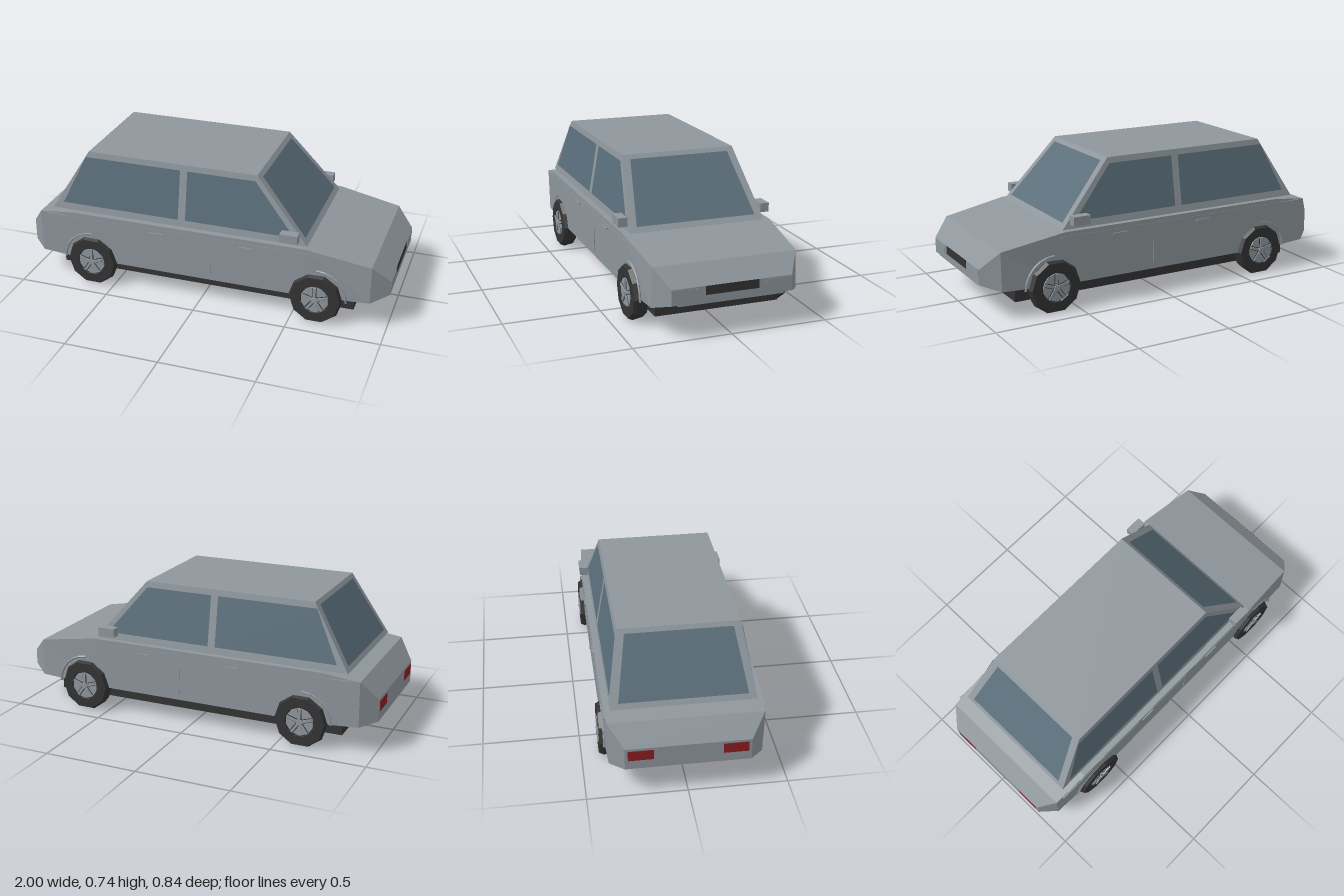
import * as THREE from 'three';

const mat = (name, color, side = THREE.FrontSide) => {
  const m = new THREE.MeshStandardMaterial({ color, side });
  m.name = name;
  return m;
};

// Faceted copy of a geometry
function flat(geo) {
  const g = geo.index ? geo.toNonIndexed() : geo;
  g.computeVertexNormals();
  return g;
}

// Skin between matching rings of points, closed at both ends
function loft(rings) {
  const n = rings[0].length, pos = [];
  const quad = (a, b, c, d) => pos.push(...a, ...b, ...c, ...a, ...c, ...d);
  for (let k = 0; k < rings.length - 1; k++) {
    for (let i = 0; i < n; i++) {
      const j = (i + 1) % n;
      quad(rings[k][i], rings[k][j], rings[k + 1][j], rings[k + 1][i]);
    }
  }
  const s = rings[0], e = rings[rings.length - 1];
  quad(s[3], s[2], s[1], s[0]);
  quad(e[0], e[1], e[2], e[3]);
  const g = new THREE.BufferGeometry();
  g.setAttribute('position', new THREE.Float32BufferAttribute(pos, 3));
  g.computeVertexNormals();
  return g;
}

export function createModel() {
  const paint = mat('grey paint', 0x8e969c);
  const glass = mat('blue glass', 0x5a6e7a, THREE.DoubleSide);
  const dark = mat('dark rubber', 0x333333);
  const red = mat('tail light red', 0x8c1d22);
  const car = new THREE.Group();
  car.name = 'car';

  const add = (name, geo, material, parent = car) => {
    const m = new THREE.Mesh(geo, material);
    m.name = name;
    parent.add(m);
    return m;
  };
  // Box given by its limits on each axis
  const box = (name, x0, x1, y0, y1, z0, z1, material) => {
    const m = add(name, new THREE.BoxGeometry(x1 - x0, y1 - y0, z1 - z0), material);
    m.position.set((x0 + x1) / 2, (y0 + y1) / 2, (z0 + z1) / 2);
    return m;
  };

  // Lower body: x, bottom y, top y, bottom half width, top half width
  const sections = [
    [-1, 0.165, 0.283, 0.31, 0.31],
    [-0.92, 0.145, 0.385, 0.38, 0.385],
    [-0.72, 0.135, 0.41, 0.388, 0.395],
    [0.57, 0.135, 0.41, 0.388, 0.395],
    [0.91, 0.15, 0.35, 0.378, 0.372],
    [1, 0.18, 0.26, 0.31, 0.31],
  ];
  add('lowerBody', loft(sections.map(([x, y0, y1, w0, w1]) =>
    [[x, y0, w0], [x, y0, -w0], [x, y1, -w1], [x, y1, w1]])), paint);
  box('chassis', -0.82, 0.82, 0.065, 0.145, -0.325, 0.325, dark);

  // Cabin
  const level = (y, x0, x1, w) => [[x0, y, w], [x1, y, w], [x1, y, -w], [x0, y, -w]];
  add('cabin', loft([level(0.41, -0.85, 0.57, 0.362), level(0.74, -0.65, 0.285, 0.305)]), paint);

  // Thin glass sheets lying just above the sloping cabin faces
  const t = (y) => (y - 0.41) / 0.33;
  const sideZ = (y) => 0.362 - t(y) * 0.057 + 0.003;
  const frontX = (y) => 0.57 - t(y) * 0.285 + 0.003;
  const rearX = (y) => -0.85 + t(y) * 0.2 - 0.003;
  const pane = (name, a, b, c, d) => {
    const g = new THREE.BufferGeometry();
    g.setAttribute('position', new THREE.Float32BufferAttribute([...a, ...b, ...c, ...a, ...c, ...d], 3));
    g.computeVertexNormals();
    add(name, g, glass);
  };
  const lo = 0.436, hi = 0.72, wl = 0.32, wh = 0.268;
  pane('windscreen', [frontX(lo), lo, wl], [frontX(lo), lo, -wl], [frontX(hi), hi, -wh], [frontX(hi), hi, wh]);
  pane('rearWindow', [rearX(lo), lo, -wl], [rearX(lo), lo, wl], [rearX(hi), hi, wh], [rearX(hi), hi, -wh]);
  const sideWindows = [['rearSideWindow', -0.79, -0.13, -0.13, -0.665], ['frontSideWindow', -0.09, 0.5, 0.278, -0.09]];
  for (const [name, x0, x1, x2, x3] of sideWindows) {
    const y0 = 0.447, y1 = 0.71;
    const p = (x, y, s) => [x, y, s * sideZ(y)];
    pane(name + 'Left', p(x0, y0, 1), p(x1, y0, 1), p(x2, y1, 1), p(x3, y1, 1));
    pane(name + 'Right', p(x1, y0, -1), p(x0, y0, -1), p(x3, y1, -1), p(x2, y1, -1));
  }

  // Nose details
  box('grille', 0.995, 1.001, 0.215, 0.26, -0.138, 0.138, dark);
  box('bumperStrip', 0.97, 0.992, 0.169, 0.178, -0.27, 0.27, paint);
  box('bumperCentre', 0.98, 0.997, 0.174, 0.182, -0.07, 0.07, paint);

  // Paired side details
  for (const s of [1, -1]) {
    const sided = (name, x0, x1, y0, y1, z0, z1, m) =>
      box(name, x0, x1, y0, y1, Math.min(s * z0, s * z1), Math.max(s * z0, s * z1), m);
    sided('headlight', 0.995, 1.002, 0.213, 0.255, 0.175, 0.305, paint);
    sided('tailLight', -1.002, -0.995, 0.215, 0.27, 0.17, 0.295, red);
    sided('mirror', 0.436, 0.53, 0.436, 0.483, 0.362, 0.41, paint);
    sided('sideTrim', -0.88, 0.6, 0.383, 0.387, 0.388, 0.396, paint);
    sided('doorSeam', 0.058, 0.063, 0.17, 0.335, 0.385, 0.394, paint);
    for (const x of [-0.24, 0.26]) sided('doorHandle', x - 0.04, x + 0.04, 0.355, 0.366, 0.385, 0.4, paint);
  }

  // Wheels: ten-sided tyre, hub disc and five spokes
  const profile = [[0, 0.335], [0.132, 0.335], [0.142, 0.388], [0.132, 0.41], [0.08, 0.41], [0.076, 0.402], [0, 0.402]];
  const tyre = flat(new THREE.LatheGeometry(profile.map(([r, y]) => new THREE.Vector2(r, y)), 10)
    .rotateY(Math.PI / 10).rotateX(Math.PI / 2));
  const hub = flat(new THREE.CylinderGeometry(0.074, 0.076, 0.012, 10).rotateX(Math.PI / 2).translate(0, 0, 0.402));
  const cap = flat(new THREE.CylinderGeometry(0.015, 0.018, 0.016, 10).rotateX(Math.PI / 2).translate(0, 0, 0.41));
  const spoke = new THREE.BoxGeometry(0.014, 0.066, 0.008).translate(0, 0.037, 0.411);
  const groove = new THREE.BoxGeometry(0.022, 0.064, 0.003).translate(0, 0.037, 0.4075);
  for (const [end, x] of [['front', 0.63], ['rear', -0.62]]) {
    for (const [hand, s] of [['Left', 1], ['Right', -1]]) {
      const wheel = new THREE.Group();
      wheel.name = end + 'Wheel' + hand;
      wheel.position.set(x, 0.135, 0);
      wheel.rotation.y = s > 0 ? 0 : Math.PI;
      add('tyre', tyre, dark, wheel);
      add('hub', hub, paint, wheel);
      add('hubCap', cap, paint, wheel);
      for (let i = 0; i < 5; i++) {
        const a = i * Math.PI * 0.4;
        add('spoke', spoke, paint, wheel).rotation.z = a;
        add('spokeGroove', groove, dark, wheel).rotation.z = a;
      }
      car.add(wheel);

      // Raised lip over the outer quarter of the wheel arch
      const lip = new THREE.TorusGeometry(0.16, 0.006, 4, 6, Math.PI / 2);
      if (end === 'rear') lip.rotateZ(Math.PI / 2);
      add('archLip', flat(lip), paint).position.set(x, 0.135, s * 0.389);
    }
  }
  return car;
}
